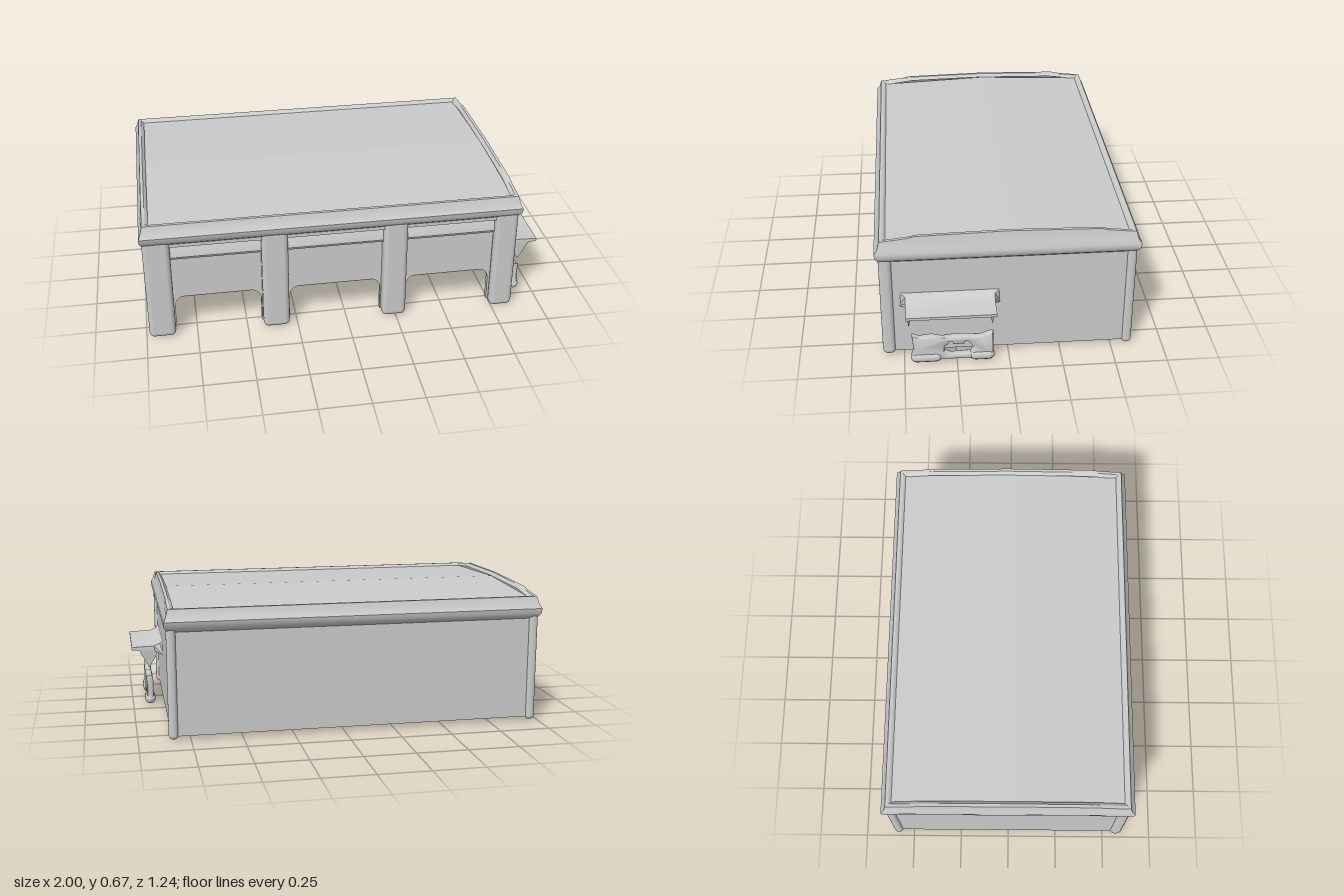
import * as THREE from 'three';
import { RoundedBoxGeometry } from 'three/addons/geometries/RoundedBoxGeometry.js';
import { toCreasedNormals } from 'three/addons/utils/BufferGeometryUtils.js';

const CX = -0.065, HX = 0.92, HZ = 0.602; // centre and half sizes over the corner posts

export function createModel() {
  const model = new THREE.Group();
  const mat = new THREE.MeshStandardMaterial({ color: 0xcccccc, side: THREE.DoubleSide });

  const add = (name, geo, x = 0, y = 0, z = 0) => {
    const mesh = new THREE.Mesh(geo, mat);
    mesh.name = name;
    mesh.position.set(x, y, z);
    model.add(mesh);
    return mesh;
  };
  // box given by its min and max on each axis, optionally rounded
  const box = (name, x0, x1, y0, y1, z0, z1, r = 0) => {
    const s = [x1 - x0, y1 - y0, z1 - z0];
    const g = r ? new RoundedBoxGeometry(...s, 3, r) : new THREE.BoxGeometry(...s);
    return add(name, g, (x0 + x1) / 2, (y0 + y1) / 2, (z0 + z1) / 2);
  };
  const outline = (pts) => new THREE.Shape(pts.map((p) => new THREE.Vector2(...p)));

  // Hull with a raised underside, and walls reaching the ground
  const x0 = CX - HX, x1 = CX + HX, skin = 0.015, inner = 0.04;
  box('hull', x0 + 0.02, x1 - 0.02, 0.22, 0.6, -HZ + 0.02, 0.535);
  box('backWall', x0 + skin, x1 - skin, 0.02, 0.58, -HZ + skin, -HZ + inner);
  box('leftWall', x1 - inner, x1 - skin, 0.02, 0.58, -HZ + skin, HZ - 0.03);
  box('rightWall', x0 + skin, x0 + inner, 0.02, 0.58, -HZ + skin, HZ - 0.03);

  // Front panel with three round-cornered openings
  const bays = [[-0.85, -0.425], [-0.285, 0.175], [0.305, 0.735]];
  const front = new THREE.Shape();
  front.moveTo(x0 + 0.02, 0.02);
  for (const [a, b] of bays) {
    front.lineTo(a, 0.02);
    front.lineTo(a, 0.15);
    front.quadraticCurveTo(a + 0.01, 0.2, a + 0.05, 0.2);
    front.lineTo(b - 0.05, 0.2);
    front.quadraticCurveTo(b - 0.01, 0.2, b, 0.15);
    front.lineTo(b, 0.02);
  }
  front.lineTo(x1 - 0.02, 0.02);
  front.lineTo(x1 - 0.02, 0.57);
  front.lineTo(x0 + 0.02, 0.57);
  add('frontPanel', new THREE.ExtrudeGeometry(front, { depth: 0.025, bevelEnabled: false }), 0, 0, 0.52);

  // Front pilasters, the outer two also turning the corners
  for (const [a, b, z] of [[x0, -0.855, 0.54], [-0.42, -0.29, 0.515], [0.18, 0.3, 0.515], [0.74, x1, 0.54]])
    box('frontPilaster', a, b, 0.005, 0.585, z, HZ, 0.025);

  // Lintel and sloping hood above each bay
  const hood = outline([[0.53, 0.575], [0.588, 0.575], [0.588, 0.51], [0.553, 0.51], [0.572, 0.465],
    [0.576, 0.445], [0.57, 0.432], [0.53, 0.42]]);
  for (const [a, b] of bays) {
    const g = new THREE.ExtrudeGeometry(hood, { depth: b - a + 0.02, bevelEnabled: false });
    g.rotateY(-Math.PI / 2).translate(b + 0.01, 0, 0);
    add('bayHood', toCreasedNormals(g, 0.6));
  }

  // Slim rounded posts at the back corners
  for (const x of [x0, x1 - 0.045])
    box('backPost', x, x + 0.045, 0.005, 0.58, -HZ, -HZ + 0.045, 0.02);

  // Cornice and rim: rectangular rings, upper ones following the shallow gable
  const rise = (z) => {
    const a = Math.abs(z);
    if (a > 0.47) return Math.max(0, 0.58 - a) / 0.11 * 0.012;
    return a > 0.43 ? 0.012 + (0.47 - a) / 0.04 * 0.01 : 0.022 + (0.43 - a) / 0.43 * 0.009;
  };
  const zSteps = [-1, -0.96, -0.8, -0.72, -0.36, 0, 0.36, 0.72, 0.8, 0.96, 1];
  const perimeter = [...zSteps.map((t) => [1, -t]), ...zSteps.map((t) => [-1, t])];
  // overhang, height, share of the gable rise
  const rings = [[-0.018, 0.525, 0], [0, 0.54, 0], [0.012, 0.557, 0], [0.016, 0.58, 0], [0, 0.602, 0],
    [-0.01, 0.638, 1], [-0.025, 0.638, 1], [-0.04, 0.622, 1]];
  const pos = [], idx = [], n = perimeter.length;
  rings.forEach(([out, y, follow], r) => perimeter.forEach(([u, t], i) => {
    const z = t * (HZ + out);
    pos.push(CX + u * (HX + Math.min(out, 0.01)), y + follow * rise(z), z);
    if (r === 0) return;
    const j = (i + 1) % n, a = (r - 1) * n;
    idx.push(a + i, a + j, a + n + i, a + j, a + n + j, a + n + i);
  }));
  const cornice = new THREE.BufferGeometry();
  cornice.setAttribute('position', new THREE.Float32BufferAttribute(pos, 3));
  cornice.setIndex(idx);
  add('cornice', toCreasedNormals(cornice, 0.8));

  // Shallow gabled roof inside the rim
  const roof = new THREE.PlaneGeometry(2 * HX - 0.07, 2 * HZ - 0.07, 1, 24);
  roof.rotateX(-Math.PI / 2);
  const rp = roof.attributes.position;
  for (let i = 0; i < rp.count; i++) rp.setY(i, 0.624 + 0.026 * (1 - Math.abs(rp.getZ(i)) / HZ));
  roof.computeVertexNormals();
  add('roof', roof, CX);

  // Side awning, flared where it meets the wall
  const slab = outline([[0.835, 0.355], [0.855, 0.335], [0.885, 0.322], [1, 0.318], [1, 0.304],
    [0.95, 0.297], [0.88, 0.295], [0.835, 0.275]]);
  const ag = new THREE.ExtrudeGeometry(slab, { depth: 0.42, bevelEnabled: false });
  const ap = ag.attributes.position;
  for (let i = 0; i < ap.count; i++)
    if (ap.getX(i) < 0.85) ap.setZ(i, ap.getZ(i) > 0.2 ? 0.45 : -0.03);
  add('awning', toCreasedNormals(ag, 0.6), 0, 0, 0.065);

  // Pointed brackets under the awning ends, narrowing downwards
  const bracket = outline([[0.48, 0.3], [0.475, 0.205], [0.465, 0.25], [0.44, 0.283], [0.4, 0.29],
    [0.16, 0.29], [0.12, 0.28], [0.09, 0.25], [0.08, 0.205], [0.07, 0.3]]);
  const bg = new THREE.ExtrudeGeometry(bracket, { depth: 2, bevelEnabled: false });
  bg.translate(0, 0, -1).rotateY(-Math.PI / 2);
  const bp = bg.attributes.position;
  for (let i = 0; i < bp.count; i++)
    bp.setX(i, 0.91 + bp.getX(i) * (0.002 + 5 * (bp.getY(i) - 0.2) ** 2));
  add('awningBracket', toCreasedNormals(bg, 0.6));

  // Upright panel below the awning with an opening, standing on two round feet
  const panel = outline([[0.455, 0.025], [0.455, 0.05], [0.445, 0.08], [0.455, 0.15], [0.43, 0.138], [0.37, 0.145],
    [0.32, 0.132], [0.26, 0.14], [0.2, 0.138], [0.14, 0.132], [0.085, 0.152], [0.085, 0.03], [0.17, 0.02],
    [0.2, 0.025], [0.32, 0.025]]);
  panel.holes.push(outline([[0.32, 0.055], [0.318, 0.1], [0.3, 0.105], [0.29, 0.125], [0.265, 0.125], [0.26, 0.11],
    [0.22, 0.11], [0.212, 0.125], [0.19, 0.125], [0.18, 0.105], [0.16, 0.08], [0.18, 0.04], [0.28, 0.035]]));
  const pg = new THREE.ExtrudeGeometry(panel, {
    depth: 0.006, bevelThickness: 0.014, bevelSize: 0.01, bevelSegments: 2,
  });
  pg.translate(0, 0, -0.003).rotateY(-Math.PI / 2);
  add('lowerPanel', toCreasedNormals(pg, 0.8), 0.91);
  for (const [a, b] of [[0.07, 0.19], [0.32, 0.47]]) {
    const foot = new THREE.CapsuleGeometry(0.028, b - a - 0.056, 4, 12);
    add('panelFoot', foot.rotateX(Math.PI / 2), 0.91, 0.03, (a + b) / 2);
  }

  return model;
}
